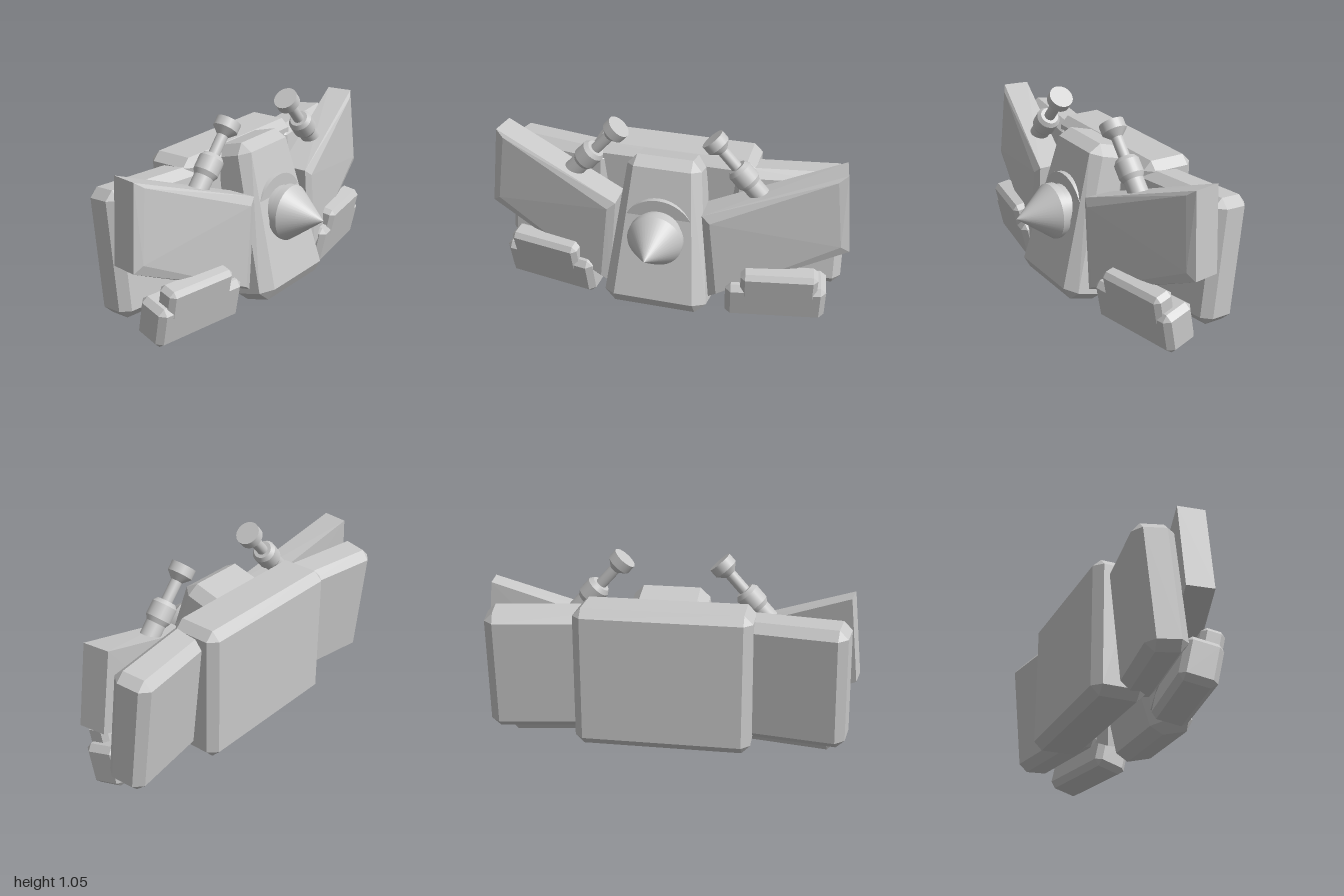
import * as THREE from 'three';
import { ConvexGeometry } from 'three/addons/geometries/ConvexGeometry.js';

// Box with every edge chamfered by c; widen() may scale x by height for a taper
function chamferBox(w, h, d, c, widen = () => 1) {
  const pts = [];
  for (const sx of [-1, 1]) for (const sy of [-1, 1]) for (const sz of [-1, 1]) {
    const x = w / 2, y = h / 2, z = d / 2;
    for (const [a, b, e] of [[x, y - c, z - c], [x - c, y, z - c], [x - c, y - c, z]]) {
      pts.push(new THREE.Vector3(sx * a * widen(sy * b), sy * b, sz * e));
    }
  }
  return new ConvexGeometry(pts);
}

export function createModel() {
  const model = new THREE.Group();
  model.name = 'armouredCraft';
  const grey = new THREE.MeshStandardMaterial({ color: 0xc8c8c8 });
  grey.name = 'plainGrey';

  const add = (name, geometry, position, yaw = 0, pitch = 0, roll = 0) => {
    const mesh = new THREE.Mesh(geometry, grey);
    mesh.name = name;
    mesh.position.set(...position);
    mesh.rotation.set(pitch, yaw, roll, 'YXZ');
    model.add(mesh);
    return mesh;
  };

  // Rear pack and the leaning, tapered centre hull
  add('rearPack', chamferBox(0.92, 0.745, 0.285, 0.045), [0, 0.462, -0.253]);
  add('centreHull', chamferBox(0.485, 0.84, 0.25, 0.055, y => 1 - y * 0.46),
    [0, 0.446, 0.027], 0, -0.272);

  // Nose: wide disc, neck, rim and cone, turned about the z axis
  const nose = [[0, 0], [0.2, 0], [0.2, 0.12], [0.135, 0.12], [0.135, 0.16],
    [0.15, 0.16], [0.15, 0.198], [0, 0.4]];
  add('noseCone', turned(nose, 40), [0, 0.48, 0], 0, Math.PI / 2);

  // Gun profile from the buried base to the flared muzzle
  const gun = [[0, -0.03], [0.052, -0.03], [0.052, 0.1], [0.066, 0.125], [0.066, 0.2],
    [0.05, 0.222], [0.03, 0.222], [0.03, 0.335], [0.066, 0.37], [0.066, 0.42], [0, 0.42]];

  for (const s of [1, -1]) {
    const side = s > 0 ? 'left' : 'right';

    // Swept rear panel
    add(side + 'RearPanel', chamferBox(0.62, 0.66, 0.21, 0.045),
      [s * 0.635, 0.46, -0.212], s * 0.155, -0.105);

    // Front wing plate: back outline, front outline, inset front face
    const corners = [[0.955, 0.893, -0.175, -0.034], [1, 0.447, -0.16, -0.02],
      [0.28, 0.12, -0.02, 0.125], [0.235, 0.63, -0.03, 0.125]];
    const pts = [];
    for (const [x, y, back, front] of corners) {
      const inX = x > 0.6 ? -1 : 1, inY = y > 0.5 ? -1 : 1;
      pts.push(new THREE.Vector3(s * (x - (x > 0.6 ? 0.02 : 0)), y, back),
        new THREE.Vector3(s * x, y, front),
        new THREE.Vector3(s * (x + inX * 0.045), y + inY * 0.035, front + (x > 0.6 ? 0.024 : 0.014)));
    }
    add(side + 'WingPlate', new ConvexGeometry(pts), [0, 0, 0]);

    // Gun leaning in towards the middle
    add(side + 'Gun', turned(gun, 24), [s * 0.53, 0.7, -0.02], 0, 0, s * 0.73);

    // Foot with a smaller block on top
    add(side + 'Foot', chamferBox(0.54, 0.23, 0.19, 0.03),
      [s * 0.627, 0.134, 0.01], s * 0.175, 0.21);
    add(side + 'FootBlock', chamferBox(0.41, 0.17, 0.12, 0.025),
      [s * 0.653, 0.245, 0.068], s * 0.175, 0.21);
  }
  return model;
}

// Lathe with doubled profile points so that its rims stay sharp
function turned(profile, sides) {
  const pts = profile.flatMap(([r, y], i) => {
    const p = new THREE.Vector2(r, y);
    return i > 0 && i < profile.length - 1 ? [p, p.clone()] : [p];
  });
  const geometry = new THREE.LatheGeometry(pts, sides).toNonIndexed();
  // Normals from each profile segment, smooth around the axis
  const pos = geometry.attributes.position, normal = geometry.attributes.normal;
  const a = new THREE.Vector3(), b = new THREE.Vector3(), c = new THREE.Vector3();
  for (let i = 0; i < pos.count; i += 3) {
    a.fromBufferAttribute(pos, i);
    b.fromBufferAttribute(pos, i + 1).sub(a);
    c.fromBufferAttribute(pos, i + 2).sub(a);
    const n = b.cross(c).normalize();
    const radial = Math.hypot(n.x, n.z);
    const mid = Math.atan2(n.x, n.z);
    for (let k = i; k < i + 3; k++) {
      const x = pos.getX(k), z = pos.getZ(k);
      const angle = Math.hypot(x, z) > 1e-5 ? Math.atan2(x, z) : mid;
      const out = Math.cos(angle - mid) < 0 ? -radial : radial;
      normal.setXYZ(k, Math.sin(angle) * out, n.y, Math.cos(angle) * out);
    }
  }
  return geometry;
}
